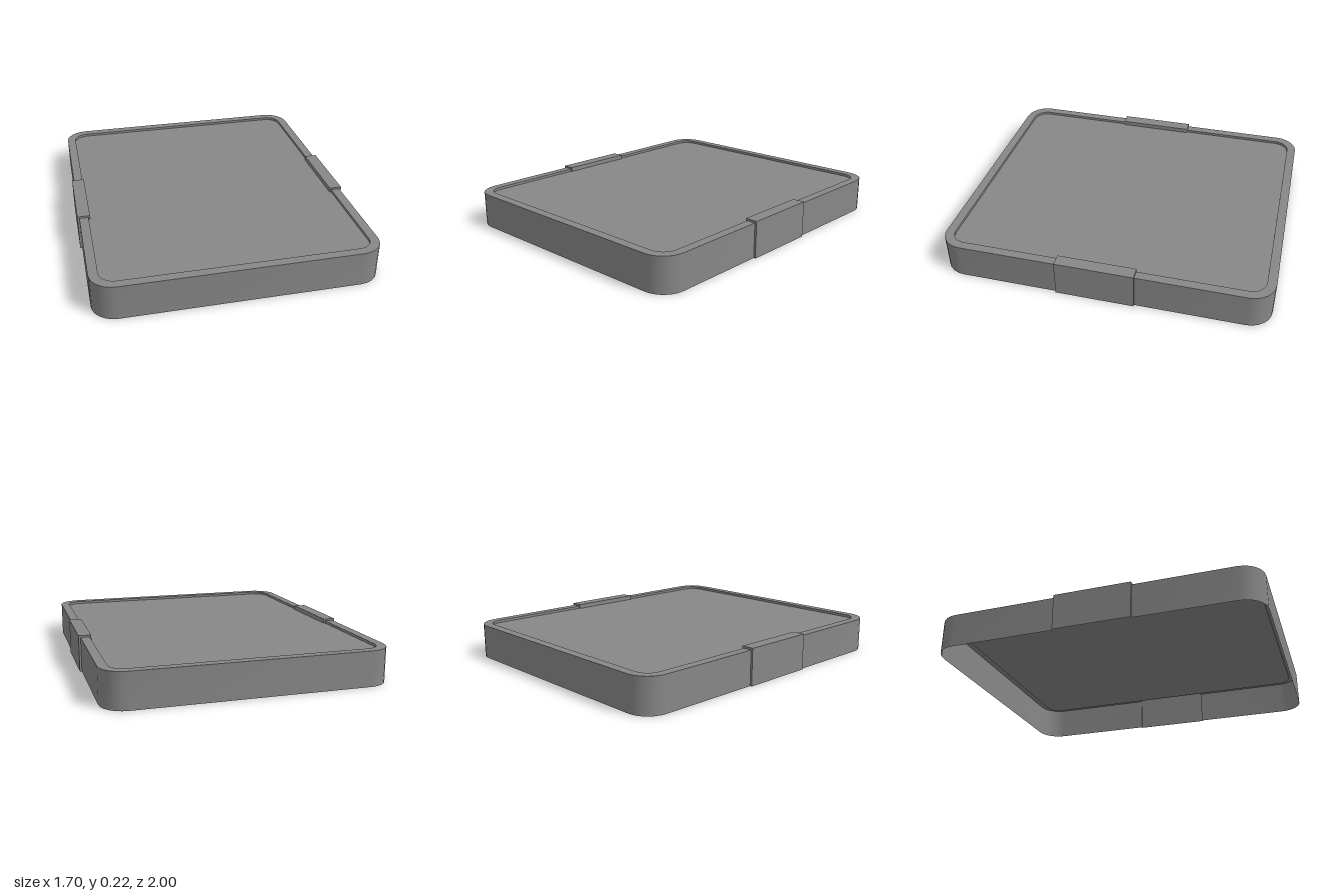
import * as THREE from 'three';
import { toCreasedNormals } from 'three/addons/utils/BufferGeometryUtils.js';

const W = 0.84, L = 1, H = 0.213;         // outer half width, half length, rim height
const IW = 0.785, IL = 0.945;             // inner edge of the rim
const R = 0.14, IR = 0.09, STEPS = 6;     // outer and inner corner radii
const PANEL_Y = 0.197;
const CLIP = { out: 0.852, inn: 0.775, top: 0.225, front: 0.265, back: -0.21 };

// One cross-section: up the outer wall, over the rim, down to the panel
const section = (ox, oz, ix, iz, top) => [
  [ox, 0, oz], [ox, top, oz], [ix, top, iz], [ix, PANEL_Y, iz],
];

// Sections around one rounded corner; quadrant 0 is back left
function corner(quadrant) {
  const sx = quadrant === 0 || quadrant === 3 ? 1 : -1;
  const sz = quadrant < 2 ? -1 : 1;
  return Array.from({ length: STEPS + 1 }, (_, i) => {
    const a = (quadrant + i / STEPS) * Math.PI / 2;
    const c = Math.cos(a), s = -Math.sin(a);
    return section(
      sx * (W - R) + R * c, sz * (L - R) + R * s,
      sx * (IW - IR) + IR * c, sz * (IL - IR) + IR * s, H);
  });
}

// Raised clip: the wall steps out and up, then back again
function clip(side, z0, z1) {
  const rim = z => section(side * W, z, side * IW, z, H);
  const raised = z => section(side * CLIP.out, z, side * CLIP.inn, z, CLIP.top);
  return [rim(z0), raised(z0), raised(z1), rim(z1)];
}

// Join neighbouring sections of the closed loop with quads
function sweep(sections) {
  const pos = [];
  sections.forEach((s, i) => {
    const n = sections[(i + 1) % sections.length];
    for (let j = 0; j < s.length - 1; j++) {
      pos.push(...s[j], ...n[j], ...n[j + 1], ...s[j], ...n[j + 1], ...s[j + 1]);
    }
  });
  const geo = new THREE.BufferGeometry();
  geo.setAttribute('position', new THREE.Float32BufferAttribute(pos, 3));
  return toCreasedNormals(geo, Math.PI / 6);
}

export function createModel() {
  const group = new THREE.Group();
  group.name = 'tray';
  const material = new THREE.MeshStandardMaterial({ color: 0x878787, side: THREE.DoubleSide });
  const corners = [0, 1, 2, 3].map(corner);

  // Thin wall and rim, open underneath, with a clip on each long side
  const frame = new THREE.Mesh(sweep([
    ...clip(1, CLIP.front, CLIP.back), ...corners[0], ...corners[1],
    ...clip(-1, CLIP.back, CLIP.front), ...corners[2], ...corners[3],
  ]), material);
  frame.name = 'frameWithClips';

  // Slightly sunken top panel
  const outline = corners.flat().map(s => new THREE.Vector2(s[3][0], -s[3][2]));
  const panel = new THREE.Mesh(
    new THREE.ShapeGeometry(new THREE.Shape(outline)).rotateX(-Math.PI / 2), material);
  panel.position.y = PANEL_Y;
  panel.name = 'topPanel';

  group.add(frame, panel);
  return group;
}
